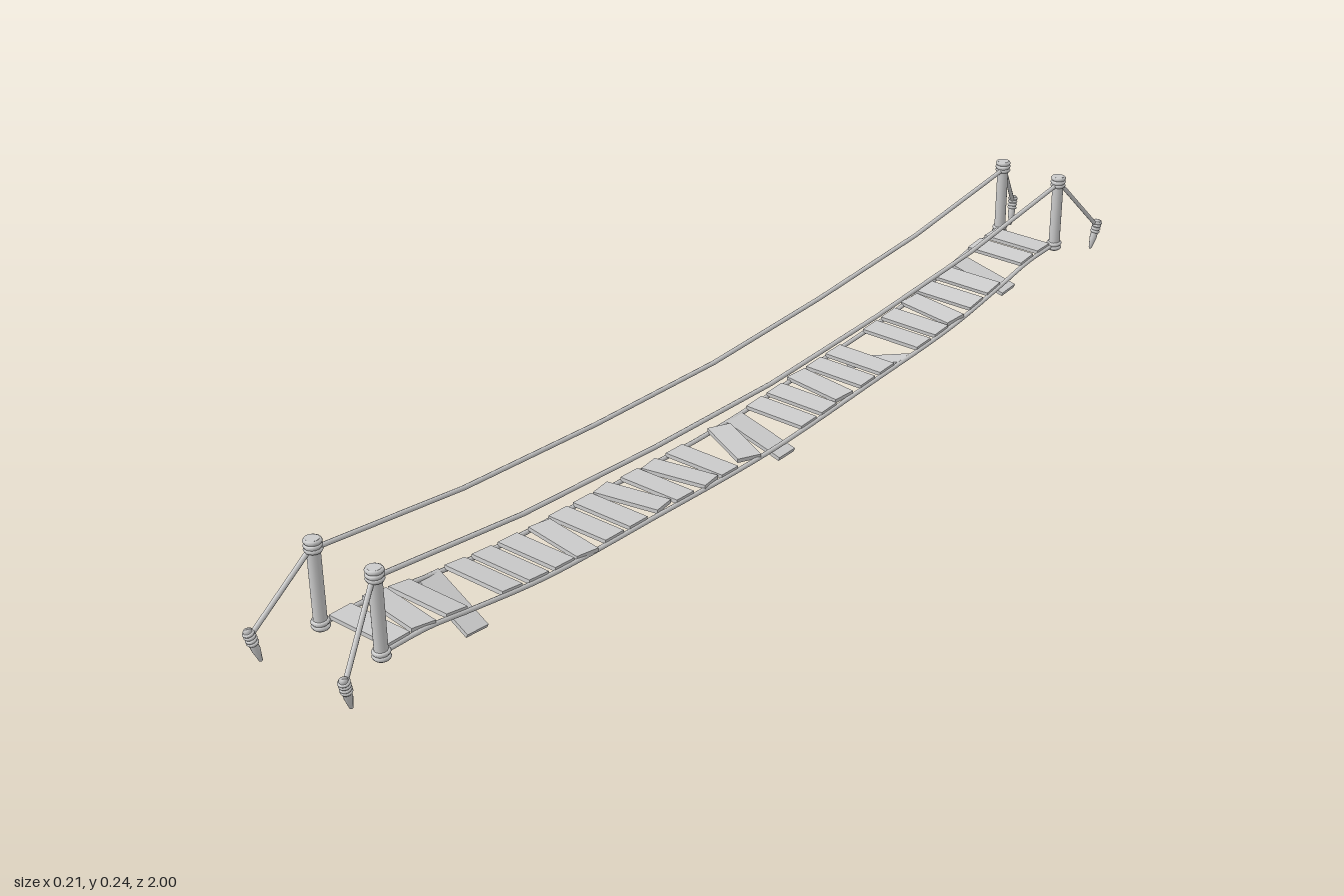
import * as THREE from 'three';

const mat = new THREE.MeshStandardMaterial({ color: 0xcccccc });
const V = (x, y, z) => new THREE.Vector3(x, y, z);

function mesh(name, geometry, parent) {
  const m = new THREE.Mesh(geometry, mat);
  m.name = name;
  parent.add(m);
  return m;
}

// Half profiles [z, y] from the post to mid-span, mirrored into a full curve
function sagCurve(half, x) {
  const pts = half.map(([z, y]) => V(x, y, z));
  const back = half.slice(0, -1).reverse().map(([z, y]) => V(x, y, -z));
  return new THREE.CatmullRomCurve3([...pts, ...back]);
}
const RAIL = [[0.892, 0.228], [0.55, 0.187], [0.27, 0.172], [0, 0.164]];
const DECK = [[0.892, 0.102], [0.8, 0.098], [0.71, 0.083], [0.55, 0.06], [0.3, 0.047], [0, 0.036]];

// Deck height at z, by sampling the deck curve
const deckSamples = sagCurve(DECK, 0).getPoints(300);
function deckY(z) {
  const i = deckSamples.findIndex((p) => p.z <= z);
  if (i <= 0) return DECK[0][1];
  const a = deckSamples[i - 1], b = deckSamples[i];
  return a.y + (b.y - a.y) * (z - a.z) / (b.z - a.z);
}

// Planks knocked askew or hanging by one end (degrees), and slid sideways
const YAW = { 5: 10, 11: 8, 15: 26, 17: -10, 19: -10, 22: 9, 26: 2, 28: 8 };
const HANG = { 2: -14, 8: 20, 14: -15, 26: -26 };
const SLIDE = { 11: -0.003, 19: -0.004, 22: 0.004, 26: -0.004 };

function addPlanks(parent) {
  const deck = new THREE.Group();
  deck.name = 'deck';
  parent.add(deck);
  const geo = new THREE.BoxGeometry(0.12, 0.007, 0.043);
  for (let i = 0; i < 30; i++) {
    // Laid from both ends, with the loose plank 15 slipped into the middle gap
    const z = i < 15 ? -0.856 + i * 0.0575 : 0.856 - (29 - i) * 0.0575 - (i === 15 ? 0.028 : 0);
    const angle = HANG[i] || 0;
    const slope = (deckY(z + 0.02) - deckY(z - 0.02)) / 0.04;
    const p = mesh('plank', geo, deck);
    const roll = THREE.MathUtils.degToRad(angle);
    // Hanging planks follow the slope only partly
    const pitch = -Math.atan(slope) * (angle ? 0.4 : 1);
    p.rotation.set(pitch, THREE.MathUtils.degToRad(-(YAW[i] || 0)), roll, 'YXZ');
    // A hanging plank pivots about the end still tied to its rope
    const pivot = Math.sign(roll) * 0.06;
    p.position.set(
      pivot - pivot * Math.cos(roll) + (SLIDE[i] || 0),
      deckY(z) + (angle ? 0 : 0.005) - pivot * Math.sin(roll),
      z
    );
  }
}

// Stacked rope coils around a post or stake
function addCoils(parent, radius, tube, heights) {
  const geo = new THREE.TorusGeometry(radius, tube, 6, 16);
  heights.forEach((y, i) => {
    const c = mesh('ropeCoil', geo, parent);
    c.rotation.x = Math.PI / 2 + (i % 2 ? 0.06 : -0.04);
    c.position.y = y;
  });
}

function addAnchor(parent, sx, sz) {
  const post = new THREE.Group();
  post.name = 'post';
  post.position.set(sx * 0.062, 0, sz * 0.892);
  parent.add(post);
  mesh('postShaft', new THREE.CylinderGeometry(0.0105, 0.0105, 0.151, 14), post).position.y = 0.1695;
  addCoils(post, 0.0105, 0.004, [0.227, 0.234, 0.241]);
  addCoils(post, 0.0105, 0.004, [0.099, 0.107]);

  // Pointed stake leaning away from the bridge
  const top = V(sx * 0.0975, 0.131, sz * 0.995), tip = V(sx * 0.092, 0.071, sz * 0.98);
  const stake = new THREE.Group();
  stake.name = 'stake';
  stake.position.copy(tip);
  stake.quaternion.setFromUnitVectors(V(0, 1, 0), top.clone().sub(tip).normalize());
  parent.add(stake);
  const profile = [[0, 0], [0.003, 0.003], [0.0068, 0.024], [0.0068, 0.06], [0, 0.062]];
  mesh('stakeShaft', new THREE.LatheGeometry(profile.map(([r, y]) => new THREE.Vector2(r, y)), 10), stake);
  addCoils(stake, 0.0065, 0.003, [0.037, 0.043, 0.049, 0.055]);

  // Guy rope from post head to stake
  const guy = new THREE.LineCurve3(V(sx * 0.061, 0.235, sz * 0.892), V(sx * 0.096, 0.118, sz * 0.992));
  mesh('guyRope', new THREE.TubeGeometry(guy, 1, 0.004, 8), parent);
}

export function createModel() {
  const bridge = new THREE.Group();
  bridge.name = 'ropeBridge';
  addPlanks(bridge);
  for (const sx of [-1, 1]) {
    mesh('handRope', new THREE.TubeGeometry(sagCurve(RAIL, sx * 0.061), 6, 0.004, 8), bridge);
    mesh('deckRope', new THREE.TubeGeometry(sagCurve(DECK, sx * 0.06), 64, 0.004, 8), bridge);
    for (const sz of [-1, 1]) addAnchor(bridge, sx, sz);
  }
  return bridge;
}
